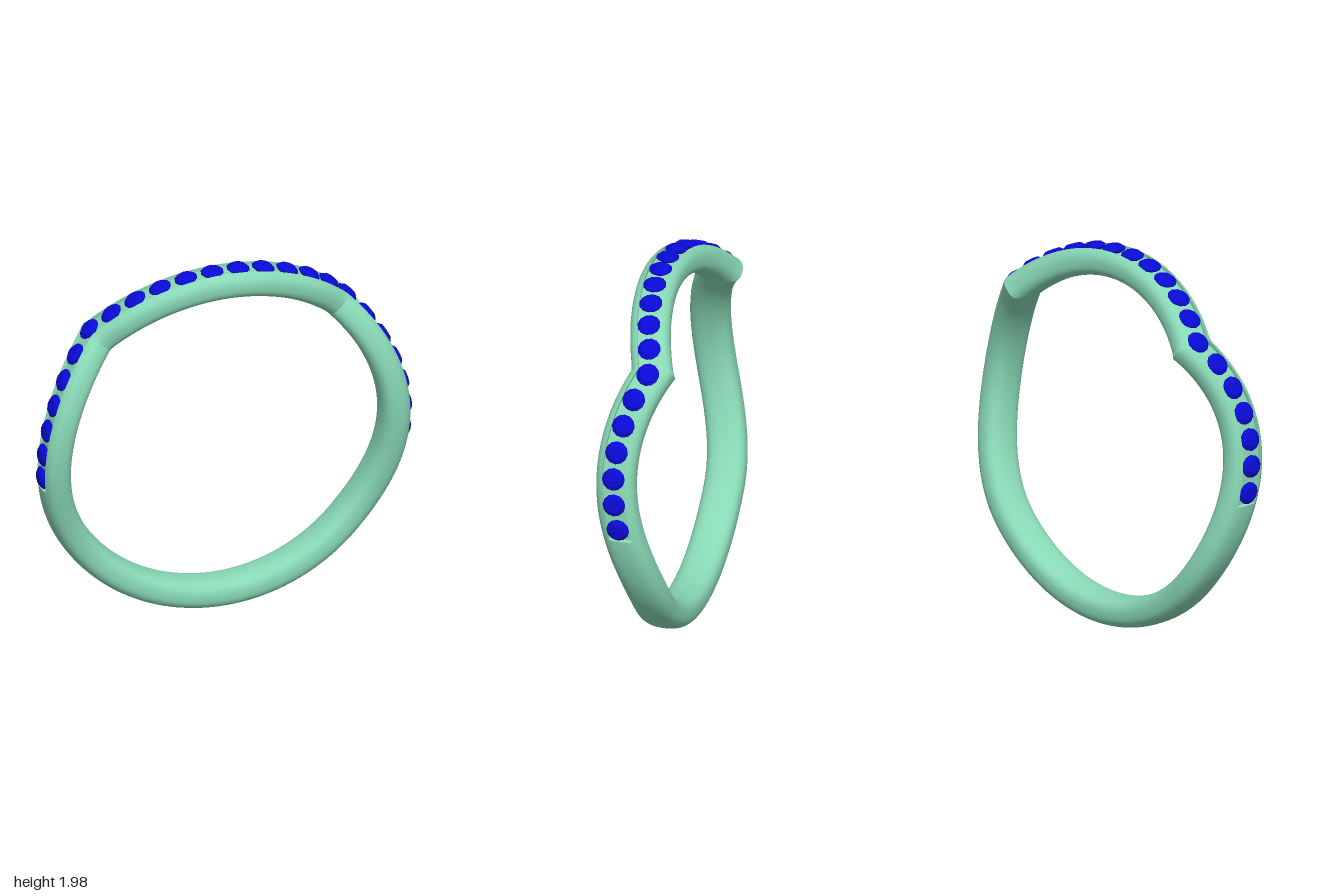
import * as THREE from 'three';
import { toCreasedNormals } from 'three/addons/utils/BufferGeometryUtils.js';

const RAD = Math.PI / 180;
const MID = 0.9075, HALF_T = 0.0775, HALF_W = 0.1025, POWER = 2.6; // band section
const GROOVE = 0.06, FLOOR = 0.958, GROOVE_END = 98;               // stone channel
const CUSP_LEFT = 43.5, CUSP_RIGHT = 45.5;

// z of the band's centre line at an angle (degrees) from the top
function wave(deg) {
  const a = Math.abs(deg);
  const cusp = deg < 0 ? CUSP_RIGHT : CUSP_LEFT;
  if (a < cusp) return 0.065 - 0.119 * (a / cusp) ** 2;
  if (a < 77) return 0.065 - 0.119 * ((77 - a) / (77 - cusp)) ** 2;
  return 0.065 * Math.cos(Math.PI * Math.min((a - 77) / 56, 1));
}

// widens the section where the band runs at a slant, so its true width stays even
function widen(deg) {
  const h = 0.2, z = wave(deg);
  const d = Math.max(Math.abs(z - wave(deg - h)), Math.abs(wave(deg + h) - z));
  return Math.hypot(1, d / (h * RAD * MID));
}

// closed section as [radius, z]: channel across the outside, then round the band
function section(grooved) {
  const pts = [];
  const outer = (z) => MID + HALF_T * (1 - Math.abs(z / HALF_W) ** POWER) ** (1 / POWER);
  for (let k = -4; k <= 4; k++) {
    const z = (GROOVE * k) / 4;
    pts.push([grooved ? FLOOR : outer(z), z]);
  }
  const power = (v) => Math.sign(v) * Math.abs(v) ** (2 / POWER);
  const start = Math.asin((GROOVE / HALF_W) ** (POWER / 2));
  const n = 36;
  for (let k = 0; k <= n; k++) {
    const p = start + ((2 * Math.PI - 2 * start) * k) / n;
    pts.push([MID + HALF_T * power(Math.cos(p)), HALF_W * power(Math.sin(p))]);
  }
  return pts;
}

function bandGeometry() {
  const plain = section(false), grooved = section(true);
  const stops = [-180, -GROOVE_END, -CUSP_RIGHT, CUSP_LEFT, GROOVE_END, 180];
  const positions = [], index = [];
  const m = plain.length;
  let rings = 0;
  for (let s = 0; s < stops.length - 1; s++) {
    const [from, to] = [stops[s], stops[s + 1]];
    const profile = s === 0 || s === 4 ? plain : grooved;
    const n = Math.ceil((to - from) / 2);
    for (let i = 0; i <= n; i++, rings++) {
      const deg = from + ((to - from) * i) / n;
      const w = widen(deg), z0 = wave(deg);
      for (const [r, z] of profile)
        positions.push(r * Math.sin(deg * RAD), 1 + r * Math.cos(deg * RAD), z0 + z * w);
    }
  }
  for (let i = 0; i < rings - 1; i++)
    for (let j = 0; j < m; j++) {
      const a = i * m + j, c = i * m + ((j + 1) % m);
      index.push(a, c, a + m, a + m, c, c + m);
    }
  const geo = new THREE.BufferGeometry();
  geo.setAttribute('position', new THREE.Float32BufferAttribute(positions, 3));
  geo.setIndex(index);
  return toCreasedNormals(geo, 28 * RAD);
}

export function createModel() {
  const group = new THREE.Group();
  group.name = 'waveRing';

  const metal = new THREE.MeshStandardMaterial({ color: 0x88d8b5 });
  const band = new THREE.Mesh(bandGeometry(), metal);
  band.name = 'band';
  group.add(band);

  // faceted round stones: pointed base, girdle, crown and table
  const stoneMaterial = new THREE.MeshStandardMaterial({ color: 0x0a0ad6, flatShading: true });
  const stoneGeometry = new THREE.LatheGeometry(
    [[0, -0.05], [0.059, -0.006], [0.059, 0.002], [0.038, 0.018], [0, 0.02]].map(
      ([x, y]) => new THREE.Vector2(x, y)), 12);
  const stones = new THREE.Group();
  stones.name = 'stones';
  const count = 24, step = 8.2, seat = 0.976;
  for (let i = 0; i < count; i++) {
    const deg = (i - (count - 1) / 2) * step;
    const stone = new THREE.Mesh(stoneGeometry, stoneMaterial);
    stone.name = 'stone';
    stone.position.set(seat * Math.sin(deg * RAD), 1 + seat * Math.cos(deg * RAD), wave(deg));
    stone.rotation.z = -deg * RAD;
    stones.add(stone);
  }
  group.add(stones);
  return group;
}
